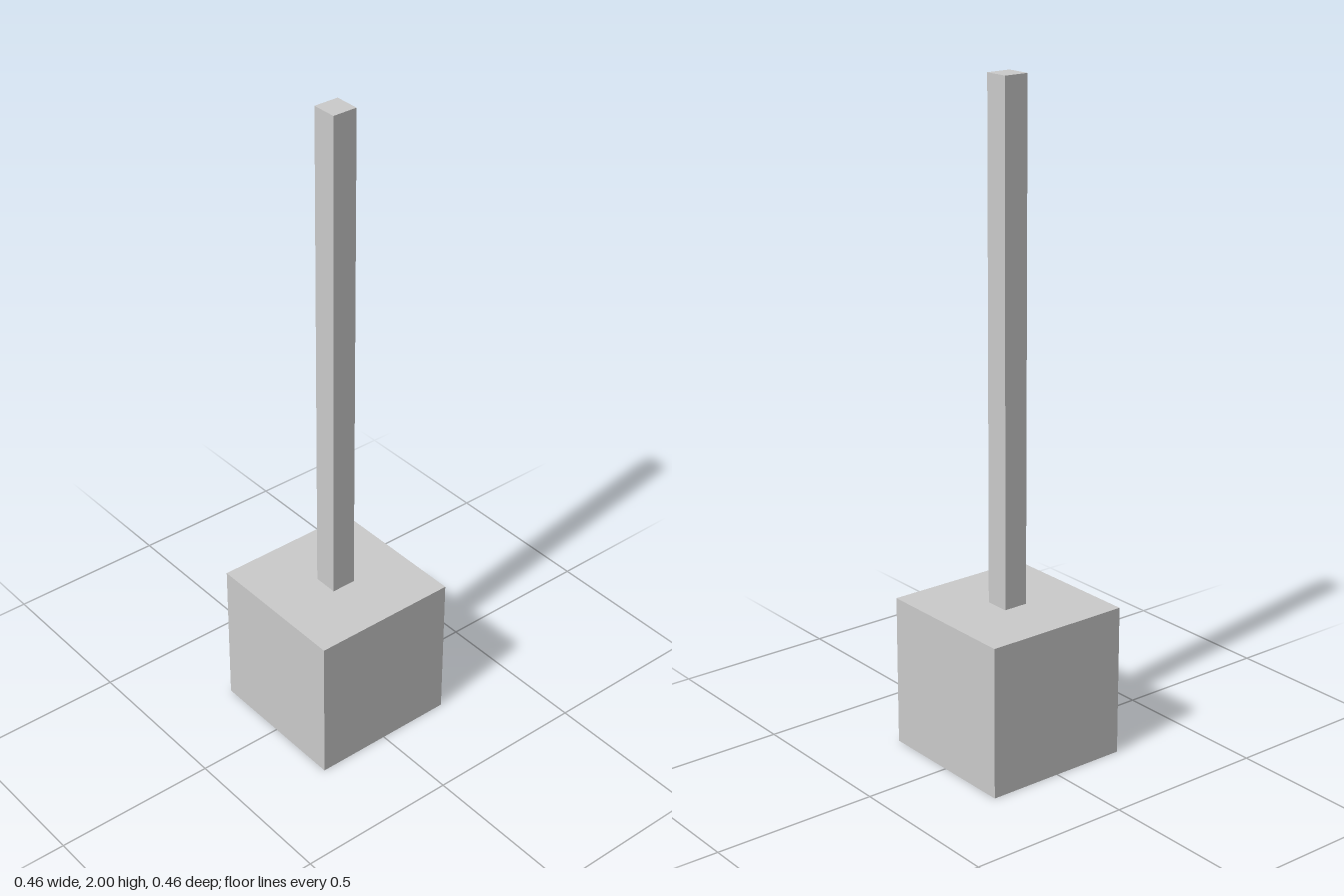
import * as THREE from 'three';

const BASE = 0.4615; // edge of the cubic base
const POST = 0.077; // width of the square post
const HEIGHT = 2;

export function createModel() {
  const model = new THREE.Group();
  model.name = 'postOnBase';
  const material = new THREE.MeshStandardMaterial({ color: 0xcccccc, flatShading: true });

  // Square block standing on a given height
  function addBlock(name, width, height, bottom) {
    const mesh = new THREE.Mesh(new THREE.BoxGeometry(width, height, width), material);
    mesh.name = name;
    mesh.position.y = bottom + height / 2;
    model.add(mesh);
  }

  // Heavy cube at the foot
  addBlock('base', BASE, BASE, 0);
  // Slim post rising from its centre
  addBlock('post', POST, HEIGHT - BASE, BASE);

  return model;
}
